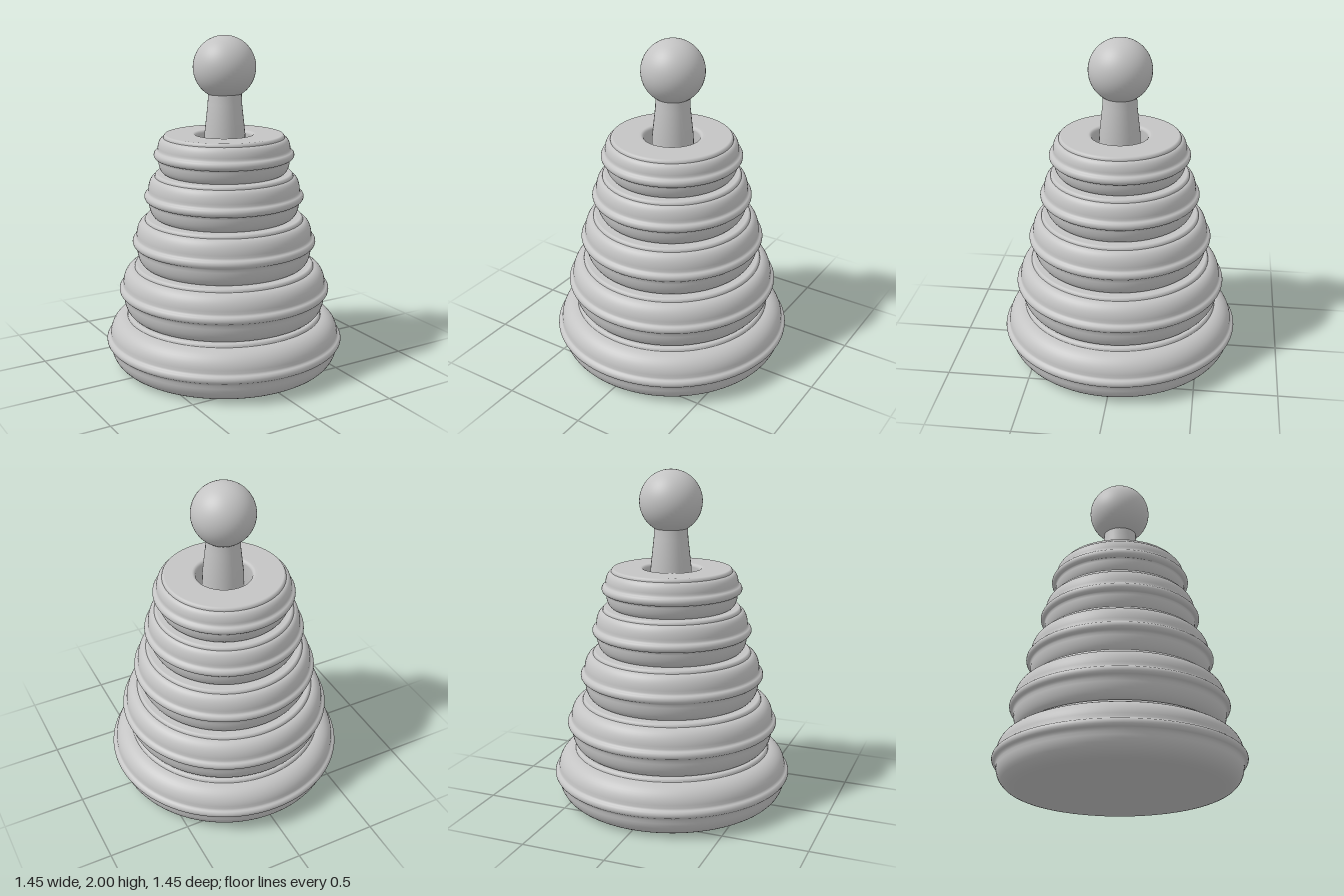
import * as THREE from 'three';

// Smooth outline with rounded shoulders, a thin lip on top and a seam ridge around the middle
function ringProfile(y0, y1, r, ridgeY, topR, bottomR, hole) {
  const h = y1 - y0;
  const pts = [];
  const add = (x, y) => pts.push(new THREE.Vector2(x, y));
  const arc = (cx, cy, rx, ry, a0, a1, n) => {
    for (let i = 0; i <= n; i++) {
      const a = THREE.MathUtils.degToRad(a0 + ((a1 - a0) * i) / n);
      add(cx + rx * Math.cos(a), cy + ry * Math.sin(a));
    }
  };
  // underside and lower shoulder
  if (hole) add(hole + 0.02, y0); else add(0, y0);
  add(bottomR - 0.02, y0);
  arc(bottomR, y0 + h * 0.36, r - 0.006 - bottomR, h * 0.36, -90, 0, 10);
  // seam ridge
  arc(r - 0.004, ridgeY, 0.024, 0.026, -80, 80, 8);
  // upper shoulder, ending in a small lip
  const lip = y1 - 0.02;
  const shoulderY = ridgeY + 0.035;
  arc(topR, shoulderY, r - 0.004 - topR, lip - shoulderY, 0, 88, 10);
  arc(topR - 0.014, lip, 0.016, 0.02, 0, 90, 4);
  // top face and rounded edge of the hole
  const inner = hole || 0.166;
  add(inner + 0.035, y1);
  arc(inner + 0.02, y1 - 0.02, 0.02, 0.02, 90, 180, 5);
  if (hole) {
    add(hole, y0 + 0.02);
    add(hole + 0.02, y0);
  } else {
    add(inner, y1 - 0.1);
    add(0, y1 - 0.1);
  }
  return pts;
}

export function createModel() {
  const group = new THREE.Group();
  const grey = new THREE.MeshStandardMaterial({ color: 0xc4c4c4 });
  grey.name = 'light grey';

  const addMesh = (name, geometry, x = 0, y = 0, z = 0) => {
    const mesh = new THREE.Mesh(geometry, grey);
    mesh.name = name;
    mesh.position.set(x, y, z);
    group.add(mesh);
  };

  // Stacked rings: bottom, top, body radius, ridge height, top radius, bottom radius, hole
  const rings = [
    ['baseRing', 0.0, 0.325, 0.706, 0.158, 0.595, 0.59, 0],
    ['secondRing', 0.325, 0.633, 0.622, 0.475, 0.545, 0.555, 0.166],
    ['thirdRing', 0.633, 0.925, 0.536, 0.772, 0.477, 0.482, 0.166],
    ['fourthRing', 0.925, 1.19, 0.46, 1.048, 0.414, 0.41, 0.166],
    ['topRing', 1.19, 1.422, 0.4, 1.3, 0.36, 0.355, 0.166],
  ];
  for (const [name, ...size] of rings) {
    addMesh(name, new THREE.LatheGeometry(ringProfile(...size), 96));
  }

  // Tapered post running down through the rings
  const post = new THREE.CylinderGeometry(0.098, 0.17, 1.5, 32);
  const p = post.attributes.position;
  for (let i = 0; i < p.count; i++) {
    if (p.getY(i) < 0) {
      // keep the foot slim enough to pass the holes
      const s = 0.145 / 0.17;
      p.setX(i, p.getX(i) * s);
      p.setZ(i, p.getZ(i) * s);
    }
  }
  post.computeVertexNormals();
  post.deleteAttribute('normal');
  post.dispose();
  const postProfile = [
    [0.155, 0.2], [0.122, 1.42], [0.102, 1.6], [0.099, 1.68],
  ].map(([x, y]) => new THREE.Vector2(x, y));
  addMesh('post', new THREE.LatheGeometry(postProfile, 32), 0.006, 0, 0);

  // Ball knob
  addMesh('knob', new THREE.SphereGeometry(0.186, 48, 32), 0.005, 1.814, -0.003);
  return group;
}
